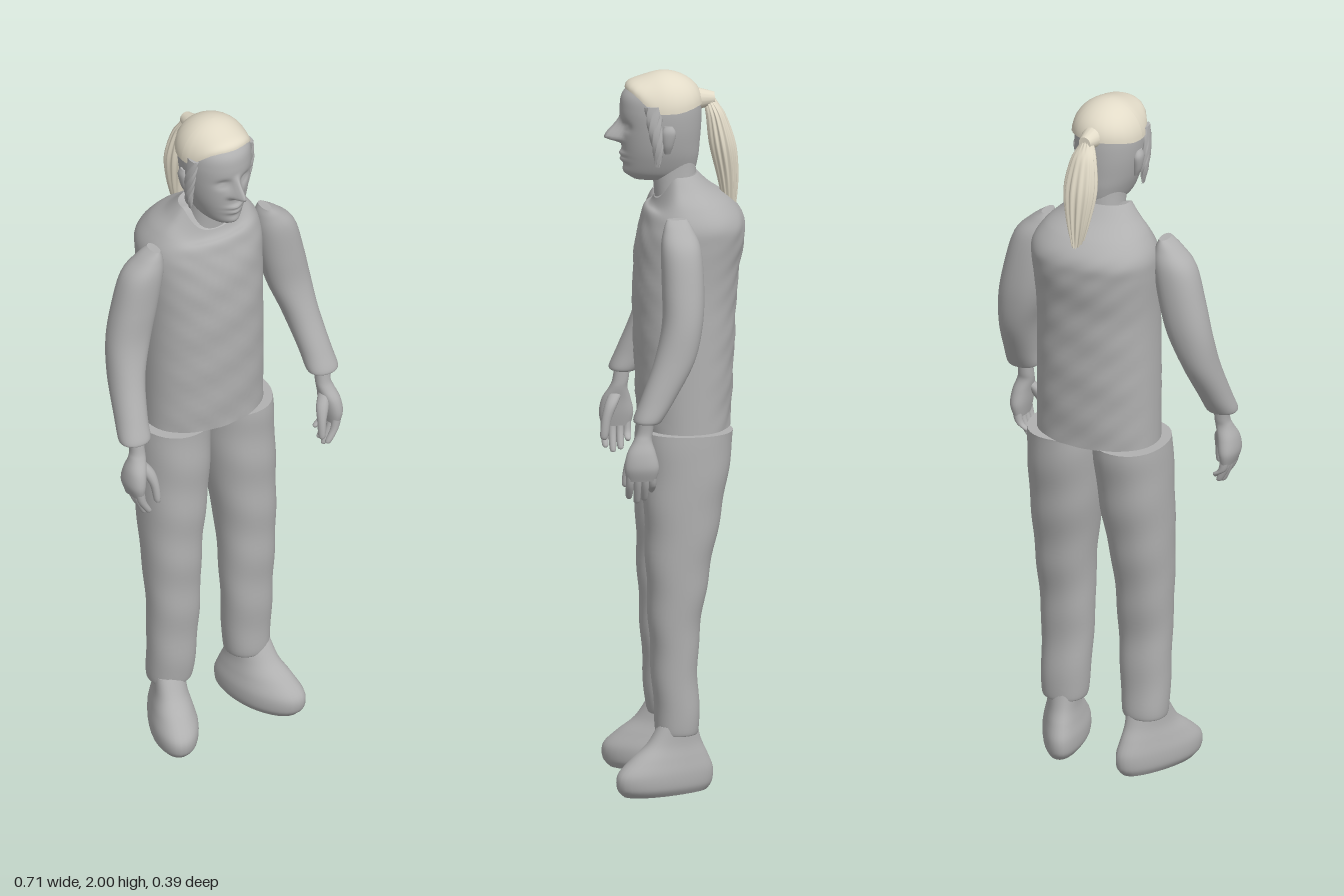
import * as THREE from 'three';

const grey = new THREE.MeshStandardMaterial({ color: 0xb0b0b0 });
grey.name = 'plain grey';
const cream = new THREE.MeshStandardMaterial({ color: 0xe2dbc8, side: THREE.DoubleSide });
cream.name = 'cream hair';

const gauss = (v, centre, width) => Math.exp(-(((v - centre) / width) ** 2));
const smooth = THREE.MathUtils.smoothstep;

// Smooth curve through four neighbouring values
function catmull(a, b, c, d, t) {
  return b + 0.5 * t * (c - a + t * (2 * a - 5 * b + 4 * c - d + t * (3 * (b - c) + d - a)));
}

// Closed body from rows of [y, xMin, xMax, zMin, zMax], lowest row first.
// side -1 mirrors it in x; tweak(point, angle) moves each vertex by a rule.
function loft(name, rows, { side = 1, steps = 6, segs = 32, power = 0.92, tweak, material = grey } = {}) {
  const pos = [], idx = [];
  const bulge = (v) => Math.sign(v) * Math.abs(v) ** power;
  const last = rows.length - 1;
  const count = last * steps + 1;
  for (let i = 0; i < count; i++) {
    const k = Math.min(Math.floor(i / steps), last - 1);
    const t = i / steps - k;
    const at = (n) => rows[Math.max(0, Math.min(last, n))];
    const [y, x0, x1, z0, z1] = rows[0].map((_, c) =>
      catmull(at(k - 1)[c], at(k)[c], at(k + 1)[c], at(k + 2)[c], t));
    for (let j = 0; j < segs; j++) {
      const a = (j / segs) * Math.PI * 2;
      const p = new THREE.Vector3(
        side * (x0 + x1) / 2 + bulge(Math.cos(a)) * (x1 - x0) / 2, y,
        (z0 + z1) / 2 + bulge(Math.sin(a)) * (z1 - z0) / 2);
      if (tweak) tweak(p, a);
      pos.push(p.x, p.y, p.z);
    }
  }
  for (let i = 0; i < count - 1; i++) {
    for (let j = 0; j < segs; j++) {
      const a = i * segs + j, b = i * segs + (j + 1) % segs;
      idx.push(a, a + segs, b, b, a + segs, b + segs);
    }
  }
  // End caps with their own vertices, so the rims stay sharp
  for (const top of [false, true]) {
    const from = (top ? count - 1 : 0) * segs, base = pos.length / 3;
    const c = [0, 0, 0];
    for (let j = 0; j < segs; j++) {
      for (let n = 0; n < 3; n++) {
        const v = pos[(from + j) * 3 + n];
        pos.push(v);
        c[n] += v / segs;
      }
    }
    pos.push(...c);
    for (let j = 0; j < segs; j++) {
      const a = base + j, b = base + (j + 1) % segs;
      if (top) idx.push(base + segs, b, a);
      else idx.push(base + segs, a, b);
    }
  }
  const geo = new THREE.BufferGeometry();
  geo.setAttribute('position', new THREE.Float32BufferAttribute(pos, 3));
  geo.setIndex(idx);
  geo.computeVertexNormals();
  const mesh = new THREE.Mesh(geo, material);
  mesh.name = name;
  return mesh;
}

function makeHead() {
  const head = new THREE.Group();
  head.name = 'head';
  // Skull and face, with nose, lips, chin and eye sockets pressed into the front
  head.add(loft('face', [
    [1.70, -0.035, 0.035, -0.03, 0.112], [1.72, -0.054, 0.054, -0.055, 0.134],
    [1.76, -0.072, 0.072, -0.066, 0.142], [1.80, -0.084, 0.084, -0.07, 0.146],
    [1.85, -0.093, 0.093, -0.074, 0.148], [1.90, -0.096, 0.096, -0.075, 0.15],
    [1.94, -0.09, 0.09, -0.07, 0.142], [1.97, -0.068, 0.068, -0.045, 0.108],
    [1.985, -0.03, 0.03, 0, 0.06],
  ], {
    segs: 96, steps: 9, power: 1, tweak: (p) => {
      if (p.z < 0.06) return;
      const { x, y } = p;
      const ridge = smooth(y, 1.798, 1.817) * (1 - smooth(y, 1.815, 1.885));
      p.z += 0.047 * ridge * gauss(x, 0, 0.009 + 0.008 * gauss(y, 1.81, 0.025));
      p.z += 0.009 * gauss(x, 0, 0.024) * (gauss(y, 1.772, 0.007) + gauss(y, 1.755, 0.007));
      p.z += 0.006 * gauss(x, 0, 0.025) * gauss(y, 1.722, 0.014);
      const ax = Math.abs(x);
      p.z -= 0.013 * gauss(ax, 0.034, 0.018) * gauss(y, 1.853, 0.013);
      p.z += 0.006 * gauss(ax, 0.034, 0.012) * gauss(y, 1.851, 0.006);
    },
  }));
  head.add(loft('neck', [
    [1.60, -0.075, 0.075, -0.075, 0.05], [1.66, -0.062, 0.062, -0.065, 0.055],
    [1.72, -0.058, 0.058, -0.06, 0.06], [1.77, -0.058, 0.058, -0.055, 0.06],
  ]));
  // Hair cap with a raised front hairline
  const capGeo = new THREE.SphereGeometry(1, 48, 16, 0, Math.PI * 2, 0, Math.PI / 2);
  const p = capGeo.attributes.position;
  for (let i = 0; i < p.count; i++) {
    const x = p.getX(i), y = p.getY(i), z = p.getZ(i);
    const lift = 0.055 * smooth(z, 0.2, 1) * (1 - y) + 0.012 * (1 - y) * smooth(-z, 0.2, 1);
    const strands = 1 + 0.006 * Math.sin(Math.atan2(z, x) * 22);
    p.setXYZ(i, x * 0.102 * strands, 1.9 + y * 0.1 + lift, 0.029 + z * 0.107 * strands);
  }
  capGeo.computeVertexNormals();
  const cap = new THREE.Mesh(capGeo, cream);
  cap.name = 'hairCap';
  head.add(cap);
  // Gathered hair and ponytail
  const tie = new THREE.Mesh(new THREE.CylinderGeometry(0.018, 0.035, 0.06, 16), cream);
  tie.name = 'gatheredHair';
  tie.rotation.x = -Math.PI / 2;
  tie.position.set(0.003, 1.92, -0.08);
  head.add(tie);
  head.add(loft('ponytail', [
    [1.615, -0.008, 0.014, -0.168, -0.135], [1.70, -0.03, 0.035, -0.174, -0.118],
    [1.79, -0.044, 0.049, -0.168, -0.098], [1.87, -0.034, 0.039, -0.143, -0.09],
    [1.91, -0.019, 0.023, -0.118, -0.085], [1.93, -0.008, 0.012, -0.105, -0.09],
  ], {
    material: cream, segs: 72, power: 1, tweak: (q, a) => {
      const s = 1 + 0.07 * Math.sin(a * 13);
      q.x *= s;
      q.z = -0.13 + (q.z + 0.13) * s;
    },
  }));
  // Ears and loose side locks
  for (const side of [1, -1]) {
    head.add(loft('ear', [
      [1.785, 0.078, 0.088, 0.02, 0.036], [1.81, 0.078, 0.1, 0.012, 0.042],
      [1.845, 0.08, 0.106, 0.005, 0.045], [1.865, 0.086, 0.1, 0.015, 0.038],
    ], { side, segs: 16 }));
    head.add(loft('sideLock', [
      [1.75, 0.088, 0.093, 0.052, 0.06], [1.80, 0.084, 0.105, 0.042, 0.068],
      [1.86, 0.085, 0.107, 0.045, 0.082], [1.92, 0.078, 0.1, 0.045, 0.09],
    ], { side, segs: 24, tweak: (q, a) => { q.z += 0.003 * Math.sin(a * 6 + q.y * 150); } }));
  }
  return head;
}

function makeArm(side) {
  const arm = new THREE.Group();
  arm.name = side > 0 ? 'leftArm' : 'rightArm';
  arm.add(loft('sleeve', [
    [1.085, 0.27, 0.345, 0.075, 0.138], [1.095, 0.262, 0.353, 0.065, 0.146],
    [1.15, 0.256, 0.346, 0.03, 0.124], [1.25, 0.235, 0.335, -0.025, 0.086],
    [1.35, 0.2, 0.325, -0.05, 0.062], [1.45, 0.175, 0.305, -0.056, 0.06],
    [1.55, 0.158, 0.276, -0.05, 0.06], [1.60, 0.16, 0.23, -0.03, 0.05],
    [1.625, 0.17, 0.195, -0.015, 0.04],
  ], { side }));
  arm.add(loft('palm', [
    [0.925, 0.305, 0.338, 0.085, 0.165], [0.96, 0.298, 0.349, 0.077, 0.172],
    [1.0, 0.292, 0.345, 0.085, 0.165], [1.035, 0.285, 0.332, 0.095, 0.145],
    [1.06, 0.284, 0.326, 0.092, 0.136], [1.11, 0.285, 0.33, 0.085, 0.13],
  ], { side, segs: 24 }));
  // Four curled fingers in a row from back to front
  [0.095, 0.115, 0.136, 0.157].forEach((z, i) => {
    const tip = [0.885, 0.862, 0.855, 0.868][i];
    arm.add(loft('finger', [
      [tip, 0.29, 0.298, z - 0.004, z + 0.004], [tip + 0.008, 0.287, 0.307, z - 0.009, z + 0.009],
      [0.91, 0.304, 0.328, z - 0.011, z + 0.011], [0.95, 0.31, 0.338, z - 0.011, z + 0.011],
    ], { side, segs: 12, steps: 4, power: 1 }));
  });
  arm.add(loft('thumb', [
    [0.895, 0.267, 0.273, 0.158, 0.166], [0.905, 0.261, 0.28, 0.152, 0.174],
    [0.95, 0.262, 0.287, 0.143, 0.17], [0.99, 0.268, 0.304, 0.125, 0.16],
    [1.02, 0.288, 0.312, 0.11, 0.145],
  ], { side, segs: 14, steps: 4, power: 1 }));
  return arm;
}

function makeLeg(side) {
  const leg = new THREE.Group();
  leg.name = side > 0 ? 'leftLeg' : 'rightLeg';
  leg.add(loft('trouserLeg', [
    [0.17, 0.075, 0.178, -0.045, 0.055], [0.185, 0.06, 0.19, -0.055, 0.066],
    [0.4, 0.046, 0.195, -0.052, 0.08], [0.6, 0.038, 0.204, -0.08, 0.09],
    [0.8, 0.012, 0.208, -0.12, 0.096], [0.95, 0.001, 0.206, -0.145, 0.097],
    [1.012, 0, 0.203, -0.152, 0.096],
  ], { side, steps: 10, tweak: (p) => { p.z += 0.002 * Math.sin(p.y * 38 + p.x * 12); } }));
  // Shoe, toes turned out and heel narrowed
  leg.add(loft('shoe', [
    [0, 0.09, 0.19, -0.078, 0.16], [0.022, 0.077, 0.203, -0.093, 0.177],
    [0.06, 0.075, 0.205, -0.095, 0.176], [0.10, 0.083, 0.197, -0.08, 0.138],
    [0.14, 0.09, 0.188, -0.062, 0.092], [0.19, 0.09, 0.186, -0.05, 0.06],
  ], {
    side, tweak: (p) => {
      const c = side * 0.14;
      p.x = c + (p.x - c) * (0.88 + 0.22 * smooth(p.z, -0.09, 0.1)) + side * 0.3 * (p.z - 0.03);
    },
  }));
  return leg;
}

export function createModel() {
  const model = new THREE.Group();
  model.name = 'standingFigure';
  // Knitted top with soft ripples and a neckline that dips at the front
  model.add(loft('top', [
    [1.01, -0.175, 0.18, -0.152, 0.1], [1.2, -0.174, 0.178, -0.162, 0.11],
    [1.4, -0.172, 0.176, -0.172, 0.114], [1.53, -0.178, 0.182, -0.19, 0.104],
    [1.59, -0.175, 0.18, -0.19, 0.09], [1.64, -0.148, 0.152, -0.155, 0.078],
    [1.68, -0.11, 0.112, -0.1, 0.068], [1.717, -0.082, 0.086, -0.062, 0.056],
  ], {
    segs: 64, steps: 10, tweak: (p, a) => {
      const body = 1 - smooth(p.y, 1.55, 1.65);
      p.z += 0.0025 * body * Math.sin(a) * Math.sin(p.y * 65 + p.x * 30) * Math.cos(p.x * 45 + p.y * 18);
      p.y -= 0.07 * smooth(p.y, 1.6, 1.717) * smooth(p.z, 0, 0.06);
    },
  }));
  model.add(makeHead());
  for (const side of [1, -1]) model.add(makeArm(side), makeLeg(side));
  return model;
}
